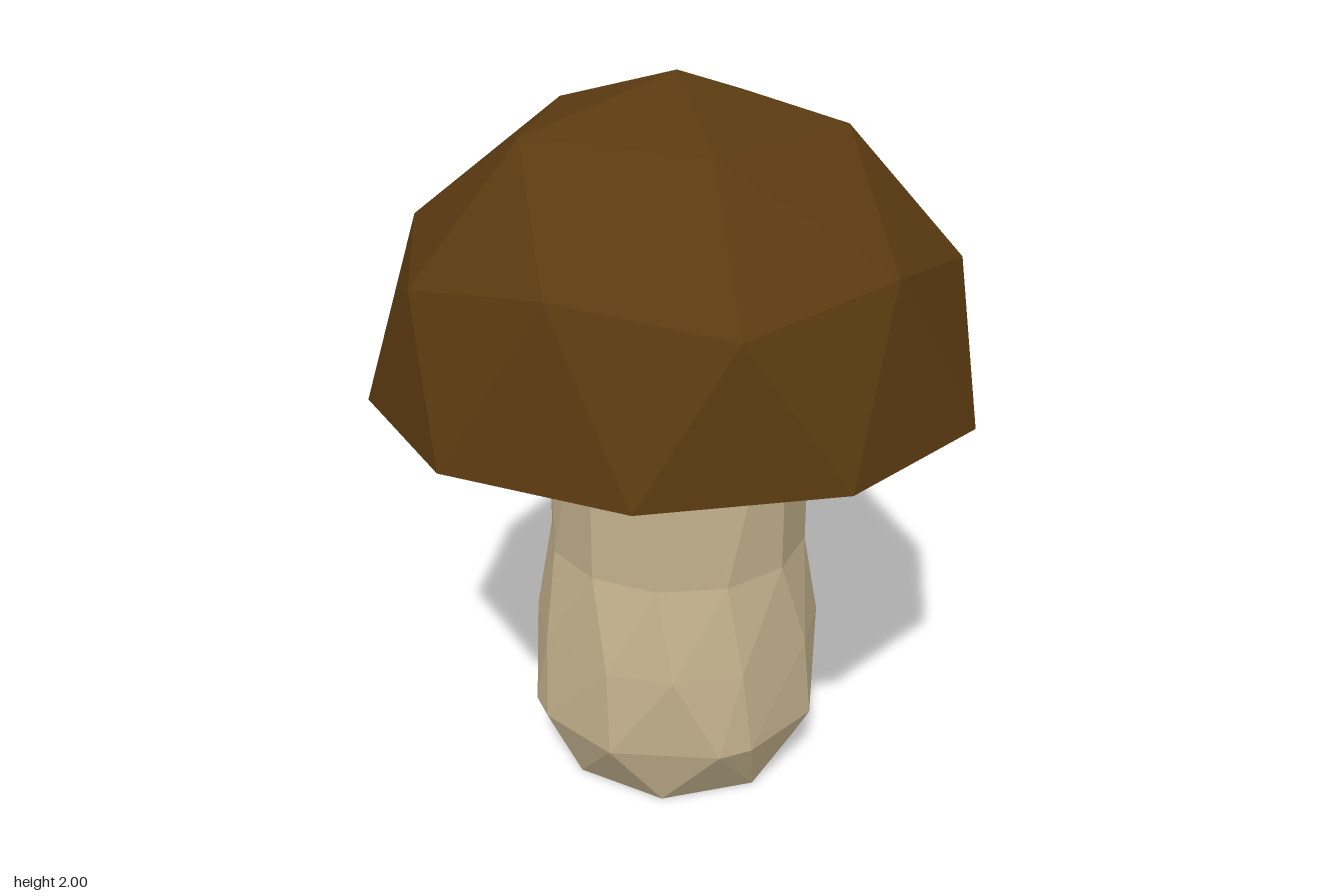
import * as THREE from 'three';

// A ring is a list of points { a: angle in degrees, r: radius, y: height }, sorted by angle.
const ring = (angles, r, y) => angles.map((a) => ({ a, r, y }));
const steps = (n, start = 0) => Array.from({ length: n }, (_, i) => start + (i * 360) / n);
// Repeats a few angles in each quarter turn.
const quarters = (list) => [0, 90, 180, 270].flatMap((q) => list.map((a) => a + q));

// Joins successive rings, which may differ in point count, into a faceted skin.
function skin(rings) {
  const pos = [];
  const put = ({ a, r, y }) => {
    const t = THREE.MathUtils.degToRad(a);
    pos.push(r * Math.cos(t), y, r * Math.sin(t));
  };
  for (let k = 0; k + 1 < rings.length; k++) {
    const lo = rings[k], up = rings[k + 1];
    const at = (list, i) => {
      const p = list[i % list.length];
      return { ...p, a: p.a + 360 * Math.floor(i / list.length) };
    };
    let i = 0, j = 0;
    while (i < lo.length || j < up.length) {
      const gap = at(lo, i + 1).a - at(up, j + 1).a;
      const tie = Math.abs(gap) < 0.01;
      let stepLow = tie ? lo.length < up.length : gap < 0;
      if (i >= lo.length) stepLow = false;
      if (j >= up.length) stepLow = true;
      const a = at(lo, i), b = at(up, j);
      const c = stepLow ? at(lo, ++i) : at(up, ++j);
      // A single-point ring is a pole and has no edge of its own.
      if ((stepLow ? lo : up).length > 1) [a, b, c].forEach(put);
    }
  }
  const geo = new THREE.BufferGeometry();
  geo.setAttribute('position', new THREE.Float32BufferAttribute(pos, 3));
  geo.computeVertexNormals();
  return geo;
}

// Upper half of a twice-divided icosahedron, from the rim to the pole.
function domeRings(R, base) {
  return [
    ring(steps(10, 18), R, base),
    steps(10).map((a, i) => (i % 2
      ? { a, r: 0.851 * R, y: base + 0.526 * R }
      : { a, r: 0.894 * R, y: base + 0.447 * R })),
    ring(steps(5), 0.526 * R, base + 0.851 * R),
    ring([0], 0, base + R),
  ];
}

function part(name, geometry, color) {
  const mesh = new THREE.Mesh(geometry, new THREE.MeshStandardMaterial({ color, flatShading: true }));
  mesh.name = name;
  return mesh;
}

export function createModel() {
  const group = new THREE.Group();
  group.name = 'mushroom';

  // Hollow cap: inner dome, flat rim, outer dome
  const inner = domeRings(0.605, 1.163).reverse();
  const outer = domeRings(0.837, 1.163);
  group.add(part('cap', skin([...inner, ...outer]), 0x5a3a10));

  // Stem: bulging foot narrowing to a straight column
  group.add(part('stem', skin([
    ring([0], 0, 0),
    ring(steps(8), 0.355, 0),
    ring(quarters([19, 54, 67]), 0.43, 0.185),
    ring(quarters([-5.5, 21, 57]), 0.413, 0.43),
    ring(steps(12, 1.5), 0.37, 0.69),
    ring(quarters([1.5, 31.5]), 0.37, 1.36),
    ring([0], 0, 1.36),
  ]), 0xc4b28e));

  return group;
}
